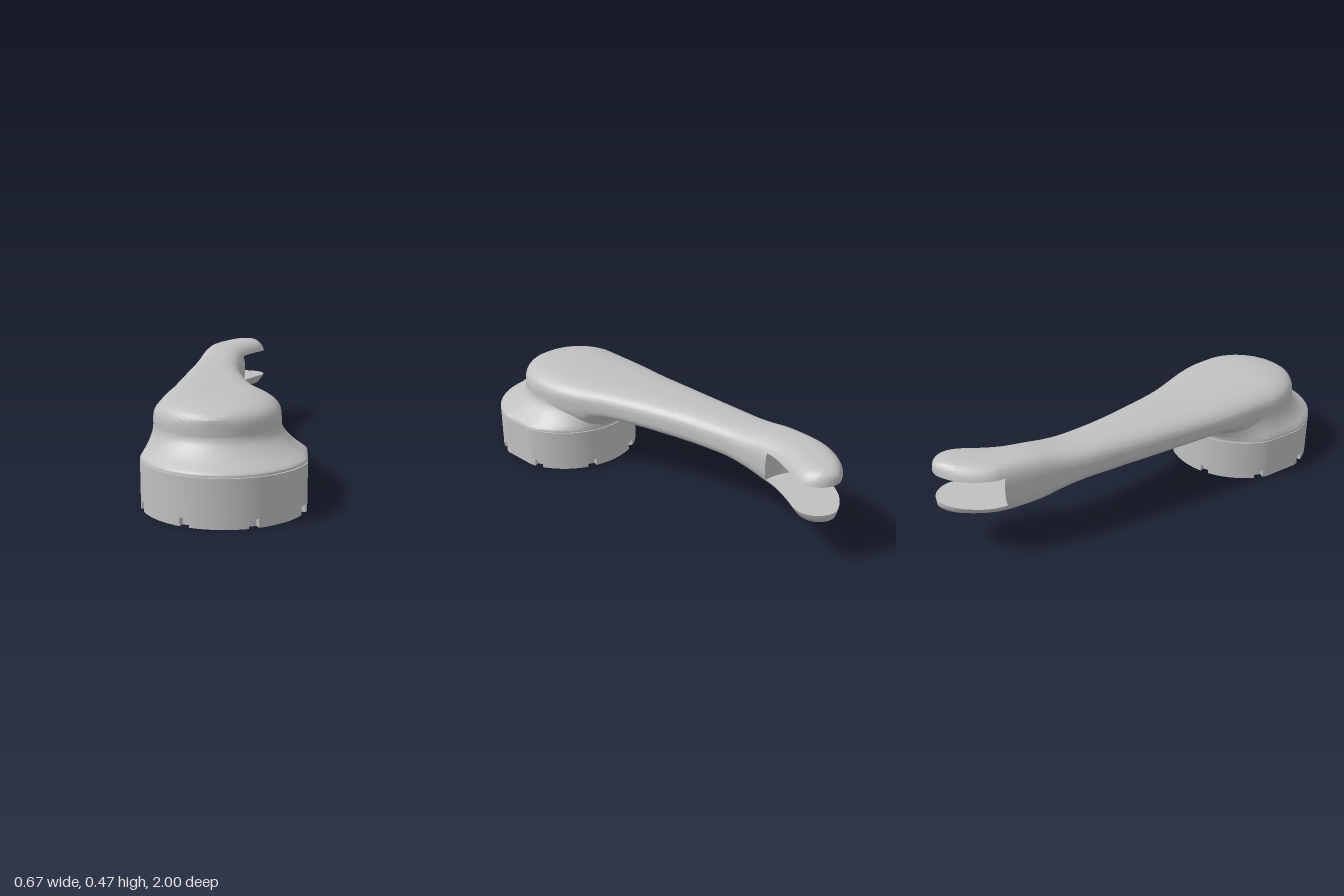
import * as THREE from 'three';
import { toCreasedNormals } from 'three/addons/utils/BufferGeometryUtils.js';

const CZ = 0.652, R = 0.347, FLAT = 0.335;      // round base: centre z, radius, side flats
const SLOT_LO = 0.27, SLOT_HI = 0.405, MID = 0.34;
const PIN_Z = -0.89, PIN_R = 0.045;
const { lerp, clamp } = THREE.MathUtils;

// Smooth interpolation through [z, value] pairs, z descending
function smooth(table, z) {
  const n = table.length;
  if (z >= table[0][0]) return table[0][1];
  if (z <= table[n - 1][0]) return table[n - 1][1];
  let i = 0;
  while (z < table[i + 1][0]) i++;
  const slope = k => {
    const a = table[Math.max(k - 1, 0)], b = table[Math.min(k + 1, n - 1)];
    return (b[1] - a[1]) / (b[0] - a[0]);
  };
  const [z0, v0] = table[i], [z1, v1] = table[i + 1], h = z1 - z0, t = (z - z0) / h;
  const t2 = t * t, t3 = t2 * t;
  return (2 * t3 - 3 * t2 + 1) * v0 + (t3 - 2 * t2 + t) * h * slope(i)
    + (3 * t2 - 2 * t3) * v1 + (t3 - t2) * h * slope(i + 1);
}

// Plan outline of the arm: its two edges along z
const leftTable = [[0.61, -0.296], [0.4, -0.293], [0.2, -0.28], [0, -0.268], [-0.2, -0.256],
  [-0.4, -0.243], [-0.6, -0.225], [-0.7, -0.214], [-0.8, -0.2]];
const rightTable = [[0.61, 0.228], [0.5, 0.222], [0.4, 0.195], [0.3, 0.155], [0.2, 0.115], [0.1, 0.085],
  [0, 0.06], [-0.2, 0.02], [-0.4, 0], [-0.5, 0], [-0.6, 0.005], [-0.7, 0.025], [-0.8, 0.07],
  [-0.85, 0.098], [-0.89, 0.11]];
const topTable = [[0.61, 0.448], [0.4, 0.44], [0.2, 0.431], [0, 0.43], [-0.4, 0.43], [-0.5, 0.438],
  [-0.6, 0.454], [-0.7, 0.46], [-0.9, 0.467]];
const bottomTable = [[-0.3, 0.27], [-0.4, 0.268], [-0.5, 0.254], [-0.6, 0.231], [-0.7, 0.222], [-0.9, 0.215]];
const HEAD_X = -0.034, HEAD_Z = 0.61, HEAD_R = 0.262;
const headHalf = z => Math.sqrt(Math.max(0, HEAD_R ** 2 - (z - HEAD_Z) ** 2));

function leftEdge(z) {
  if (z > HEAD_Z) return HEAD_X - headHalf(z);
  if (z < -0.8) return -0.2 * Math.max(0, 1 - ((-0.8 - z) / 0.2) ** 1.6) ** 0.6;
  return smooth(leftTable, z);
}
function rightEdge(z) {
  if (z > HEAD_Z) return HEAD_X + headHalf(z);
  if (z < -0.89) return Math.sqrt(Math.max(0, 0.11 ** 2 - (z + 0.89) ** 2));
  return smooth(rightTable, z);
}
// Rounds a height down to the fraction lo at distance 0 from an end
function ease(d, r, lo) {
  const q = 1 - clamp(d / r, 0, 1);
  return lo + (1 - lo) * Math.sqrt(1 - q * q);
}
const topY = z => MID + (smooth(topTable, z) - MID)
  * ease(HEAD_Z + HEAD_R - z, 0.25, 0.4) * ease(z + 1, 0.07, 0.7);
function bottomY(x, z) {
  const y = MID - (MID - smooth(bottomTable, z)) * ease(z + 1, 0.07, 0.7);
  const r = Math.hypot(x, z - CZ);               // fillet running down onto the base
  return r > R + 0.11 ? y : 0.205 + (y - 0.205) * ease(r - R, 0.11, 0);
}

// One cross-section; zl and zr are the stations of its two edges
function section(zl, zr, bulge, lo = -9, hi = 9) {
  const pts = [], N = 88, n = 3;
  const xl = leftEdge(zl), xr = rightEdge(zr);
  for (let j = 0; j < N; j++) {
    const a = j / N * Math.PI * 2;
    const k = (Math.abs(Math.cos(a)) ** n + Math.abs(Math.sin(a)) ** n) ** (-1 / n);
    let c = Math.cos(a) * k;
    const s = Math.sin(a) * k;
    const place = v => [lerp(xl, xr, (1 + v) / 2) - 0.47 * bulge * (1 - v * v),
      lerp(zl, zr, (1 + v) / 2) + 0.88 * bulge * (1 - v * v)];
    let [x, z] = place(c);
    const raw = MID + s * (s > 0 ? topY(z) - MID : MID - bottomY(x, z));
    const y = clamp(raw, lo, hi);
    if (y !== raw) {                              // keep the slot face inside the wall
      const h = lo > 0 ? topY(z) - MID : MID - bottomY(x, z);
      const limit = Math.max(0, 1 - Math.min(1, Math.abs(y - MID) / h) ** n) ** (1 / n);
      c = clamp(c, -limit, limit);
      [x, z] = place(c);
    }
    pts.push(new THREE.Vector3(x, y, z));
  }
  return pts;
}

// Skins a list of closed rings; keep() can drop triangles
function loft(rings, capEnd, crease, keep = () => true) {
  const n = rings[0].length, verts = rings.flat(), index = [];
  const add = (...t) => { if (keep(...t.map(i => verts[i]))) index.push(...t); };
  for (let i = 0; i < rings.length - 1; i++) for (let j = 0; j < n; j++) {
    const k = (j + 1) % n, a = i * n + j, b = i * n + k;
    add(a, a + n, b);
    add(b, a + n, b + n);
  }
  if (capEnd) {                                   // upright strips from top edge to bottom edge
    const at = j => (rings.length - 1) * n + j % n;
    for (let j = 0; j < n / 2; j++) {
      add(at(j), at(n - j), at(j + 1));
      add(at(j + 1), at(n - j), at(n - j - 1));
    }
  }
  const g = new THREE.BufferGeometry().setFromPoints(verts);
  g.setIndex(index);
  return toCreasedNormals(g, crease);
}

// Round outline with flattened sides, from angle a0 to a1
function arc(r, a0, a1, steps) {
  const flat = FLAT - (R - r);
  return Array.from({ length: steps + 1 }, (_, i) => {
    const a = lerp(a0, a1, i / steps);
    return new THREE.Vector2(clamp(r * Math.cos(a), -flat, flat), r * Math.sin(a));
  });
}
function extrudeUp(shape, y0, y1) {
  const g = new THREE.ExtrudeGeometry(shape, { depth: y1 - y0, bevelEnabled: false, curveSegments: 48 });
  g.rotateX(-Math.PI / 2).translate(0, y0, CZ);
  return toCreasedNormals(g, 0.4);
}
function ringShape(rOut, rIn) {
  const s = new THREE.Shape(arc(rOut, 0, Math.PI * 2, 96).slice(0, -1));
  s.holes.push(new THREE.Path().absarc(0, 0, rIn, 0, Math.PI * 2, true));
  return s;
}

// Neck of the skirt: round in front, following the arm's edges behind
function neckPoint(a) {
  const c = Math.cos(a), s = Math.sin(a);
  if (s >= 0) return [HEAD_X + HEAD_R * c, HEAD_Z + HEAD_R * s];
  const z = HEAD_Z + 0.29 * s, l = leftEdge(z), r = rightEdge(z);
  return [lerp(l, r, (1 + Math.sign(c) * Math.abs(c) ** 0.3) / 2), z];
}

export function createModel() {
  const model = new THREE.Group();
  model.name = 'crankHandle';
  const grey = new THREE.MeshStandardMaterial({ color: 0xc0c0c0 });
  grey.name = 'grey';
  const add = (name, geo) => {
    const m = new THREE.Mesh(geo, grey);
    m.name = name;
    model.add(m);
  };

  // Base collar, with eight notches around the lower rim
  add('baseCollar', extrudeUp(ringShape(R, 0.3), 0.035, 0.199));
  add('lowerRim', extrudeUp(ringShape(0.322, 0.3), 0, 0.035));
  for (let i = 0; i < 8; i++) {
    const a0 = (i - 0.5) * Math.PI / 4 + 0.06, a1 = (i + 0.5) * Math.PI / 4 - 0.06;
    const pts = [...arc(R, a0, a1, 10), ...arc(0.321, a1, a0, 10)];
    add('rimTooth', extrudeUp(new THREE.Shape(pts), 0, 0.035));
  }
  add('seam', extrudeUp(ringShape(R - 0.008, 0.29), 0.197, 0.204));
  add('baseFloor', new THREE.CylinderGeometry(0.302, 0.302, 0.13, 64).translate(0, 0.135, CZ));

  // Flared skirt from the collar up to the round head
  const profile = [[0.203, 0], [0.208, 0], [0.213, 0.02], [0.22, 0.1], [0.235, 0.33], [0.248, 0.49],
    [0.262, 0.64], [0.28, 0.8], [0.295, 0.91], [0.31, 0.975], [0.325, 1], [0.345, 1.005]];
  add('skirt', loft(profile.map(([y, f]) => arc(R, 0, Math.PI * 2, 128).slice(0, -1).map((p, i) => {
    const [x, z] = neckPoint(i / 128 * Math.PI * 2);
    return new THREE.Vector3(lerp(p.x, x, f), y, lerp(CZ + p.y, z, f));
  })), false, 0.7));
  add('indexMark', new THREE.CylinderGeometry(0.027, 0.027, 0.008, 24, 1, false, Math.PI / 2, Math.PI)
    .rotateX(0.45).translate(0, 0.222, 0.982));

  // Arm, ending in the curved back wall of the fork slot
  const body = [], STEPS = 150, FRONT = HEAD_Z + HEAD_R;
  for (let i = 0; i <= STEPS; i++) {
    const e = 1 - Math.cos(i / STEPS * Math.PI / 2);
    body.push(section(lerp(FRONT, -0.78, e), lerp(FRONT, -0.64, e), 0.043 * e ** 4));
  }
  add('arm', loft(body, true, 0.7));

  // Fork prongs; the lower one has a blind pin hole in its underside
  const prong = (lo, hi) => Array.from({ length: 41 }, (_, i) => {
    const e = Math.sin(i / 40 * Math.PI / 2);
    return section(lerp(-0.78, -1, e), lerp(-0.64, -1, e), 0.043 * (1 - e), lo, hi);
  });
  add('upperProng', loft(prong(SLOT_HI, 9), false, 0.7));
  const lower = prong(-9, SLOT_LO);
  for (const p of lower.flat()) {                 // open the underside around the pin
    const r = Math.hypot(p.x, p.z - PIN_Z), reach = 0.08;
    if (p.y < 0.25 && r > 1e-5 && r < reach) {
      const k = lerp(PIN_R, reach, r / reach) / r;
      p.x *= k;
      p.z = PIN_Z + (p.z - PIN_Z) * k;
    }
  }
  const outsideHole = (a, b, c) => Math.min(a.y, b.y, c.y) > 0.25
    || Math.hypot((a.x + b.x + c.x) / 3, (a.z + b.z + c.z) / 3 - PIN_Z) > PIN_R - 0.002;
  add('lowerProng', loft(lower, false, 0.7, outsideHole));
  const r = PIN_R + 0.002;                        // wall and floor of the hole, facing inwards
  add('pinHole', new THREE.LatheGeometry(
    [[0, 0.262], [r, 0.262], [r, 0.262], [r, 0.216]].map(p => new THREE.Vector2(...p)), 32)
    .translate(0, 0, PIN_Z));
  return model;
}
